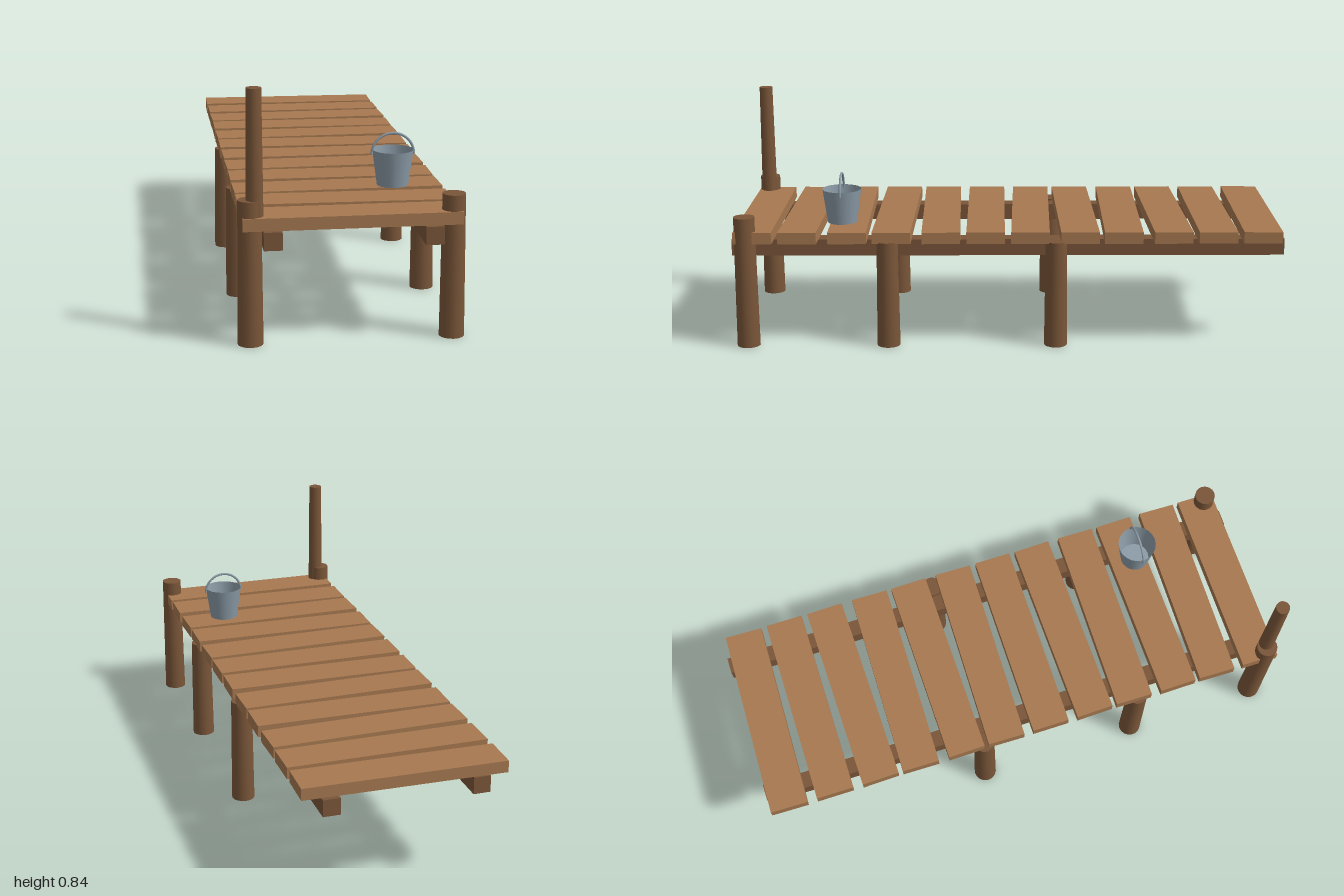
import * as THREE from 'three';

export function createModel() {
  const dock = new THREE.Group();
  dock.name = 'dock';

  const mat = (name, color, side = THREE.FrontSide) => {
    const m = new THREE.MeshStandardMaterial({ color, side });
    m.name = name;
    return m;
  };
  const plankWood = mat('plank wood', 0xa67850);
  const postWood = mat('post wood', 0x7a5639);
  const metal = mat('bucket metal', 0x8c9ca8, THREE.DoubleSide);

  const add = (parent, name, geometry, material, x, y, z) => {
    const mesh = new THREE.Mesh(geometry, material);
    mesh.name = name;
    mesh.position.set(x, y, z);
    parent.add(mesh);
    return mesh;
  };

  // Deck planks, each laid slightly askew
  const yaws = [-0.02, 0, 0.02, -0.014, 0.016, -0.018, 0, 0.02, -0.012, 0.013, -0.02, 0];
  const plank = new THREE.BoxGeometry(0.71, 0.042, 0.138);
  yaws.forEach((yaw, i) => {
    add(dock, 'plank', plank, plankWood, 0, 0.406, -0.92 + i * 0.1669).rotation.y = yaw;
  });

  // Long beams and posts on both sides; the end posts rise above the deck
  const beam = new THREE.BoxGeometry(0.06, 0.06, 2);
  for (const side of [-1, 1]) {
    add(dock, 'beam', beam, postWood, side * 0.26, 0.355, 0);
    for (const [z, h] of [[0.945, 0.48], [0.435, 0.39], [-0.172, 0.39]]) {
      const post = new THREE.CylinderGeometry(0.038, 0.042, h, 16);
      add(dock, 'post', post, postWood, side * 0.33, h / 2, z);
    }
  }

  // Tall mooring pole
  add(dock, 'mooringPole', new THREE.CylinderGeometry(0.025, 0.029, 0.44, 14),
    postWood, -0.314, 0.62, 0.947);

  // Open bucket with a half-hoop handle
  const bucket = new THREE.Group();
  bucket.name = 'bucket';
  bucket.position.set(0.19, 0.427, 0.607);
  dock.add(bucket);
  add(bucket, 'bucketWall', new THREE.CylinderGeometry(0.071, 0.054, 0.123, 20, 1, true),
    metal, 0, 0.0615, 0);
  add(bucket, 'bucketFloor', new THREE.CircleGeometry(0.054, 20).rotateX(-Math.PI / 2),
    metal, 0, 0.002, 0);
  add(bucket, 'bucketHandle', new THREE.TorusGeometry(0.073, 0.0045, 8, 24, Math.PI),
    metal, 0, 0.106, 0);

  return dock;
}
